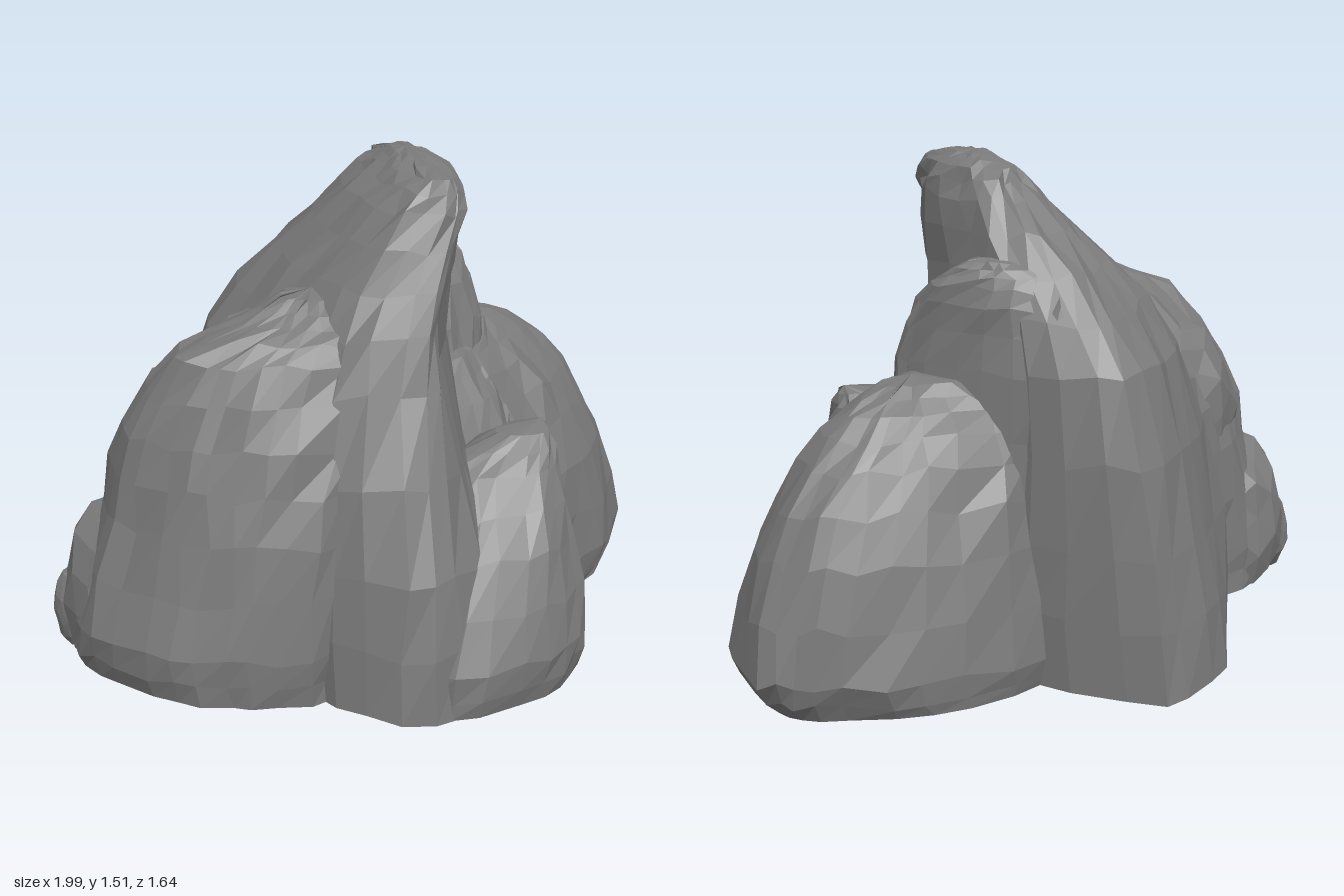
import * as THREE from 'three';
import { mergeVertices } from 'three/addons/utils/BufferGeometryUtils.js';

const stone = new THREE.MeshStandardMaterial({ color: 0x7a7a7a, flatShading: true });

// Gently sloping underside shared by every rock
const floorAt = (x) => 0.043 - 0.04 * x;

// Seeded jitter in -0.5..0.5
function seeded(seed) {
  let s = seed;
  return () => {
    s = (s * 16807) % 2147483647;
    return s / 2147483647 - 0.5;
  };
}

// Rock lofted through rings [height, x, z, x, z, ...] running back > +x > front > -x
function loftRock(name, rings, apex, seed) {
  const around = 3, up = 2, rough = 0.02;
  const rnd = seeded(seed);
  const top = new THREE.Vector3(...apex);
  const sides = ((rings[0].length - 1) / 2) * around;
  const outlines = rings.map(([y, ...p]) => {
    const pts = [];
    for (let i = 0; i < p.length; i += 2) pts.push(new THREE.Vector3(p[i], y, p[i + 1]));
    return new THREE.CatmullRomCurve3(pts, true, 'catmullrom', 0.3);
  });
  const rows = rings.length * up;
  const columns = [];
  for (let i = 0; i < sides; i++) {
    const pts = outlines.map((o) => o.getPoint(i / sides));
    // Rounded shoulder just under the top point
    const rim = pts[pts.length - 1];
    const crown = rim.clone().lerp(top, 0.55);
    crown.y = THREE.MathUtils.lerp(rim.y, top.y, 0.8);
    columns.push(new THREE.CatmullRomCurve3([...pts, crown], false, 'catmullrom', 0.35));
  }
  const pos = [];
  for (let r = 0; r <= rows; r++) {
    for (const column of columns) {
      const v = column.getPoint(r / rows);
      v.x += rnd() * rough;
      v.z += rnd() * rough;
      v.y += rnd() * rough * (r > rows - 3 ? 0.4 : 1.5);
      const floor = floorAt(v.x);
      if (rings[0][0] < 0.1) v.y = r === 0 ? floor : Math.max(v.y, floor);
      pos.push(v.x, v.y, v.z);
    }
  }
  // Centre points closing the bottom and the top
  const mid = new THREE.Vector3();
  for (let i = 0; i < sides; i++) mid.add(new THREE.Vector3().fromArray(pos, i * 3));
  mid.divideScalar(sides);
  const bottom = pos.length / 3;
  pos.push(mid.x, mid.y, mid.z, ...apex);
  const index = [];
  for (let i = 0; i < sides; i++) {
    const j = (i + 1) % sides;
    for (let r = 0; r < rows; r++) {
      const a = r * sides + i, b = r * sides + j;
      index.push(a, a + sides, b, b, a + sides, b + sides);
    }
    index.push(bottom, i, j, rows * sides + i, bottom + 1, rows * sides + j);
  }
  const geo = new THREE.BufferGeometry();
  geo.setAttribute('position', new THREE.Float32BufferAttribute(pos, 3));
  geo.setIndex(index);
  geo.computeVertexNormals();
  const mesh = new THREE.Mesh(geo, stone);
  mesh.name = name;
  return mesh;
}

// Small rounded stone wedged between the large ones
function knob(name, centre, radii, seed) {
  const rnd = seeded(seed);
  let geo = new THREE.IcosahedronGeometry(1, 2);
  geo.deleteAttribute('normal');
  geo.deleteAttribute('uv');
  geo = mergeVertices(geo, 1e-4);
  const p = geo.attributes.position;
  for (let i = 0; i < p.count; i++) {
    const k = 1 + rnd() * 0.12;
    const x = centre[0] + p.getX(i) * radii[0] * k;
    const y = centre[1] + p.getY(i) * radii[1] * k;
    p.setXYZ(i, x, Math.max(y, floorAt(x)), centre[2] + p.getZ(i) * radii[2] * k);
  }
  geo.computeVertexNormals();
  const mesh = new THREE.Mesh(geo, stone);
  mesh.name = name;
  return mesh;
}

export function createModel() {
  const group = new THREE.Group();
  group.name = 'rockFormation';

  // Tall central slab with the peak and the front ridge
  group.add(loftRock('mainPeak', [
    [0.05, 0, -0.82, 0.22, -0.45, 0.3, 0.1, 0.2, 0.7, -0.2, 0.8, -0.41, 0.58, -0.55, 0, -0.57, -0.35, -0.3, -0.69],
    [0.45, 0, -0.75, 0.22, -0.45, 0.28, 0.1, 0.1, 0.6, -0.17, 0.74, -0.39, 0.55, -0.52, 0, -0.55, -0.33, -0.28, -0.64],
    [0.95, 0.02, -0.63, 0.2, -0.42, 0.23, 0.08, 0.02, 0.4, -0.08, 0.54, -0.33, 0.44, -0.42, 0.1, -0.43, -0.23, -0.22, -0.5],
    [1.2, 0.05, -0.4, 0.2, -0.3, 0.24, 0.1, 0.04, 0.38, -0.02, 0.46, -0.21, 0.36, -0.25, 0.1, -0.23, -0.15, -0.1, -0.32],
    [1.4, 0.1, -0.18, 0.2, -0.12, 0.23, 0.12, 0.15, 0.32, 0.08, 0.39, -0.04, 0.33, -0.08, 0.15, -0.06, -0.03, 0, -0.14],
    [1.48, 0.1, -0.11, 0.17, -0.06, 0.2, 0.1, 0.16, 0.25, 0.1, 0.32, 0.04, 0.27, 0.02, 0.12, 0.03, 0, 0.05, -0.08],
  ], [0.1, 1.52, 0.06], 11));

  // Broad shoulder on the -x side, running into the front ridge
  group.add(loftRock('rightShoulder', [
    [0.07, -0.5, -0.25, -0.2, 0, -0.4, 0.54, -0.62, 0.5, -0.8, 0.38, -0.95, 0.14, -0.95, -0.06, -0.8, -0.2],
    [0.22, -0.5, -0.25, -0.2, 0, -0.4, 0.55, -0.64, 0.51, -0.82, 0.39, -0.98, 0.15, -0.96, -0.07, -0.82, -0.2],
    [0.55, -0.5, -0.25, -0.2, 0, -0.37, 0.54, -0.58, 0.47, -0.75, 0.34, -0.87, 0.12, -0.84, -0.07, -0.68, -0.2],
    [0.8, -0.45, -0.22, -0.2, 0, -0.28, 0.48, -0.53, 0.42, -0.7, 0.29, -0.82, 0.11, -0.77, -0.05, -0.6, -0.15],
    [1.02, -0.36, -0.05, -0.12, 0.04, -0.2, 0.42, -0.44, 0.36, -0.59, 0.27, -0.68, 0.15, -0.62, 0.05, -0.5, -0.01],
    [1.1, -0.32, 0.02, -0.1, 0.08, -0.18, 0.37, -0.35, 0.3, -0.43, 0.24, -0.49, 0.17, -0.46, 0.1, -0.4, 0.05],
  ], [-0.27, 1.18, 0.18], 23));

  // Rounded lobe on the +x side
  group.add(loftRock('leftLobe', [
    [0, 0.2, -0.49, 0.55, -0.48, 0.84, -0.34, 0.91, -0.22, 0.87, 0.04, 0.7, 0.19, 0.4, 0.31, 0.15, 0],
    [0.13, 0.2, -0.5, 0.6, -0.5, 0.87, -0.37, 0.99, -0.27, 0.95, 0, 0.76, 0.2, 0.42, 0.33, 0.15, 0],
    [0.45, 0.2, -0.46, 0.55, -0.45, 0.81, -0.35, 0.92, -0.22, 0.87, 0, 0.68, 0.18, 0.38, 0.3, 0.15, 0],
    [0.7, 0.2, -0.4, 0.5, -0.36, 0.7, -0.3, 0.78, -0.2, 0.74, -0.03, 0.57, 0.1, 0.3, 0.2, 0.15, 0],
    [0.83, 0.2, -0.33, 0.45, -0.27, 0.58, -0.25, 0.65, -0.17, 0.61, -0.07, 0.47, 0.01, 0.28, 0.1, 0.15, -0.05],
  ], [0.42, 0.915, -0.13], 37));

  // Pointed stone at the front, its flank spreading towards the ridge
  group.add(loftRock('frontStone', [
    [0.04, 0.2, 0.3, 0.39, 0.32, 0.4, 0.45, 0.37, 0.66, 0.17, 0.79, -0.15, 0.78, -0.25, 0.5],
    [0.18, 0.2, 0.3, 0.4, 0.3, 0.41, 0.45, 0.38, 0.69, 0.17, 0.81, -0.13, 0.79, -0.25, 0.5],
    [0.45, 0.2, 0.28, 0.4, 0.31, 0.41, 0.44, 0.37, 0.6, 0.22, 0.71, 0, 0.68, -0.15, 0.48],
    [0.64, 0.22, 0.28, 0.38, 0.33, 0.4, 0.42, 0.37, 0.52, 0.28, 0.57, 0.1, 0.51, 0.02, 0.4],
  ], [0.36, 0.75, 0.43], 41));

  // Buttress leaning on the peak, its crest falling towards the lobe
  group.add(loftRock('sideButtress', [
    [0.55, 0.1, -0.56, 0.31, -0.33, 0.41, -0.06, 0.4, 0.06, 0.27, 0.18, 0.06, 0.14, 0.05, -0.1],
    [0.93, 0.1, -0.53, 0.28, -0.29, 0.4, -0.06, 0.39, 0.01, 0.25, 0.07, 0.1, 0.08, 0.06, -0.1],
    [1.12, 0.1, -0.44, 0.26, -0.28, 0.37, -0.13, 0.36, -0.06, 0.23, -0.01, 0.13, 0, 0.1, -0.12],
    [1.2, 0.1, -0.37, 0.24, -0.29, 0.32, -0.19, 0.31, -0.14, 0.21, -0.08, 0.13, -0.08, 0.1, -0.2],
  ], [0.22, 1.25, -0.23], 53));

  // Sloping saddle joining the hollow, the buttress, the lobe and the front stone
  group.add(loftRock('saddle', [
    [0.3, 0.1, -0.1, 0.38, -0.1, 0.38, 0.27, 0.28, 0.4, -0.05, 0.5, -0.1, 0.1],
    [0.58, 0.1, -0.1, 0.39, -0.1, 0.38, 0.25, 0.28, 0.36, 0, 0.46, -0.1, 0.1],
    [0.74, 0.1, -0.1, 0.4, -0.1, 0.39, 0.14, 0.28, 0.22, 0.12, 0.26, 0, 0.1],
  ], [0.27, 0.88, 0.02], 79));

  // Smaller stones at the foot of the shoulder
  group.add(knob('lowerBackStone', [-0.78, 0.24, -0.01], [0.2, 0.32, 0.23], 61));
  group.add(knob('upperBackStone', [-0.56, 0.66, -0.01], [0.23, 0.28, 0.22], 67));
  group.add(knob('edgePebble', [-0.93, 0.2, -0.09], [0.065, 0.13, 0.07], 71));
  return group;
}
